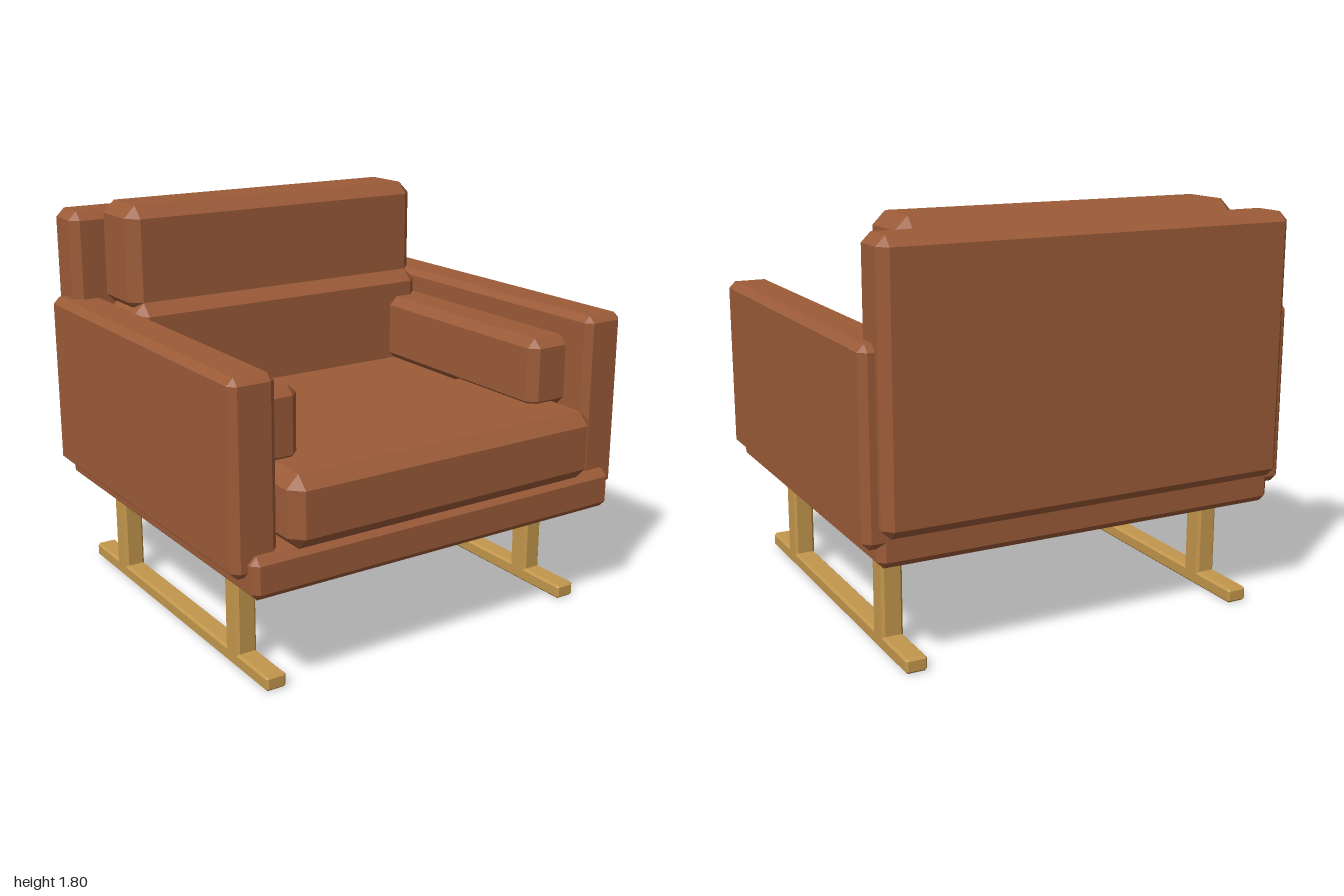
import * as THREE from 'three';
import { ConvexGeometry } from 'three/addons/geometries/ConvexGeometry.js';

const leather = new THREE.MeshStandardMaterial({ name: 'tan leather', color: 0x9c5b38 });
const brass = new THREE.MeshStandardMaterial({ name: 'brass', color: 0xc3974c });

// Box with flat chamfered edges, given as [min, max] ranges along each axis
function chamferBox(name, material, xr, yr, zr, c) {
  const center = [xr, yr, zr].map(([a, b]) => (a + b) / 2);
  const half = [xr, yr, zr].map(([a, b]) => (b - a) / 2);
  const points = [];
  for (const sx of [-1, 1]) for (const sy of [-1, 1]) for (const sz of [-1, 1]) {
    const s = [sx, sy, sz];
    // each corner becomes three points, one on each adjoining face
    for (let face = 0; face < 3; face++) {
      points.push(new THREE.Vector3(...s.map((d, i) => d * (half[i] - (i === face ? 0 : c)))));
    }
  }
  const mesh = new THREE.Mesh(new ConvexGeometry(points), material);
  mesh.name = name;
  mesh.position.set(...center);
  return mesh;
}

export function createModel() {
  const chair = new THREE.Group();
  chair.name = 'armchair';
  const add = (...args) => chair.add(chamferBox(...args));

  // Upholstered shell
  add('seatBase', leather, [-0.94, 0.94], [0.455, 0.635], [-0.865, 0.89], 0.03);
  add('backPanel', leather, [-0.94, 0.94], [0.59, 1.755], [-0.93, -0.71], 0.04);

  // Loose cushions
  const w = [-0.785, 0.785];
  add('frontSeatCushion', leather, w, [0.635, 0.945], [0.125, 0.935], 0.055);
  add('rearSeatCushion', leather, w, [0.615, 0.925], [-0.75, 0.167], 0.055);
  add('lowerBackCushion', leather, w, [0.86, 1.365], [-0.72, -0.375], 0.055);
  add('headCushion', leather, w, [1.31, 1.8], [-0.76, -0.43], 0.055);

  for (const [side, s] of [['left', 1], ['right', -1]]) {
    const mirror = (a, b) => (s > 0 ? [a, b] : [-b, -a]);

    // Arm with its inner pad
    add(side + 'Arm', leather, mirror(0.795, 1), [0.54, 1.35], [-0.865, 0.845], 0.03);
    add(side + 'ArmPad', leather, mirror(0.605, 0.84), [0.915, 1.24], [-0.6, 0.705], 0.04);

    // Sled runner and its two posts
    const leg = mirror(0.74, 0.835);
    add(side + 'Runner', brass, leg, [0, 0.065], [-0.865, 0.795], 0.01);
    add(side + 'FrontPost', brass, leg, [0.01, 0.47], [0.455, 0.56], 0.012);
    add(side + 'RearPost', brass, leg, [0.01, 0.47], [-0.625, -0.52], 0.012);
  }

  // Crossbars under the seat
  add('frontCrossbar', brass, [-0.8, 0.8], [0.39, 0.47], [0.455, 0.56], 0.012);
  add('rearCrossbar', brass, [-0.8, 0.8], [0.39, 0.47], [-0.625, -0.52], 0.012);

  return chair;
}
